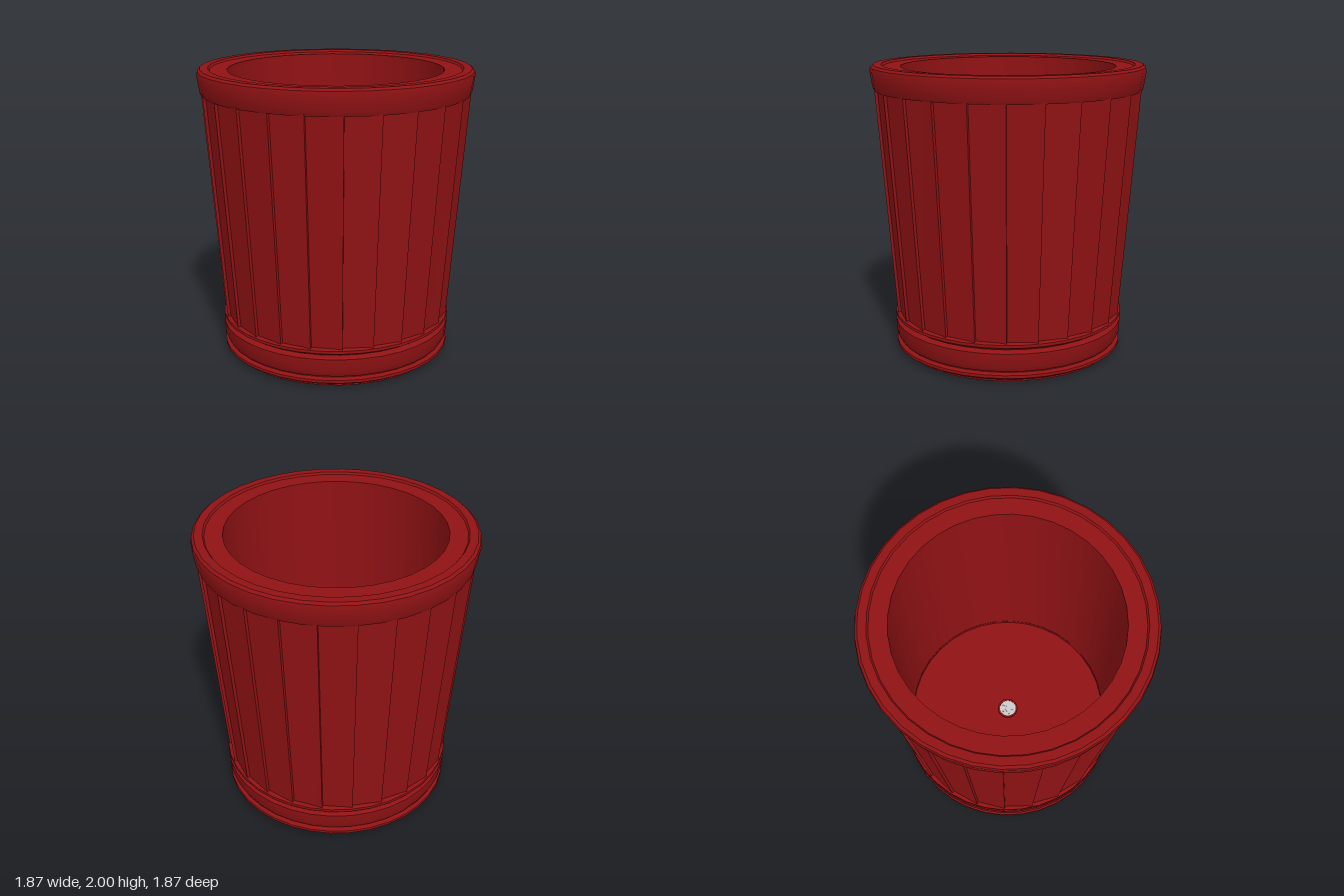
import * as THREE from 'three';
import { toCreasedNormals } from 'three/addons/utils/BufferGeometryUtils.js';

const SIDES = 36;
const PLANKS = 24;

function lathe(points, sides = SIDES) {
  const g = new THREE.LatheGeometry(points.map(([r, y]) => new THREE.Vector2(r, y)), sides);
  return toCreasedNormals(g, 0.5);
}

// Tapered stave, one long edge standing slightly proud of its neighbour
function plankGeometry() {
  const g = new THREE.BoxGeometry(2, 1, 1);
  const p = g.attributes.position;
  for (let i = 0; i < p.count; i++) {
    const side = Math.sign(p.getX(i));
    const top = p.getY(i) > 0;
    const outer = p.getZ(i) > 0;
    const r = top ? 0.9 : 0.78;
    const proud = outer ? (side > 0 ? 0.008 : -0.012) : -0.05;
    p.setXYZ(i, side * r * 0.131, top ? 1.86 : 0.25, r + proud);
  }
  g.computeVertexNormals();
  return g;
}

export function createModel() {
  const group = new THREE.Group();
  const red = new THREE.MeshStandardMaterial({ color: 0x901214 });
  const grey = new THREE.MeshStandardMaterial({ color: 0xcccccc });
  const add = (name, geometry, material = red, parent = group) => {
    const mesh = new THREE.Mesh(geometry, material);
    mesh.name = name;
    parent.add(mesh);
    return mesh;
  };

  // Moulded foot: plinth, thin ring, broad band, thin ring
  add('base', lathe([
    [0, 0], [0.75, 0], [0.75, 0.02], [0.77, 0.02], [0.8, 0.04], [0.8, 0.06], [0.77, 0.07],
    [0.765, 0.08], [0.78, 0.08], [0.8, 0.12], [0.805, 0.21], [0.79, 0.22],
    [0.765, 0.225], [0.78, 0.235], [0.805, 0.25], [0.805, 0.27], [0.79, 0.28], [0.73, 0.28],
  ]));

  // Ring of staves
  const staves = new THREE.Group();
  staves.name = 'staves';
  group.add(staves);
  const plank = plankGeometry();
  for (let i = 0; i < PLANKS; i++) {
    const mesh = add('stave', plank, red, staves);
    mesh.rotation.y = ((i + 0.57) / PLANKS) * Math.PI * 2;
  }

  // Flared rim with a shallow step inside
  add('rim', lathe([
    [0.86, 1.83], [0.91, 1.83], [0.92, 1.85], [0.937, 1.96], [0.932, 1.985], [0.915, 2],
    [0.86, 2], [0.85, 1.985], [0.732, 1.985],
  ]));

  // Straight inner wall and floor
  add('lining', lathe([[0.732, 1.985], [0.732, 0.25], [0, 0.25]]));

  // Drain fitting in the floor
  add('drainCollar', lathe([[0.075, 0.25], [0.075, 0.265], [0.062, 0.265], [0.062, 0.25]], 20));
  const plug = add('drainPlug', new THREE.CylinderGeometry(0.062, 0.062, 0.01, 20), grey);
  plug.position.y = 0.255;
  for (let i = 0; i < 5; i++) {
    const vane = add('drainVane', new THREE.BoxGeometry(0.04, 0.006, 0.012), grey);
    const a = (i / 5) * Math.PI * 2;
    vane.position.set(Math.cos(a) * 0.03, 0.262, Math.sin(a) * 0.03);
    vane.rotation.set(0, 0.6 - a, 0.1);
  }
  return group;
}
